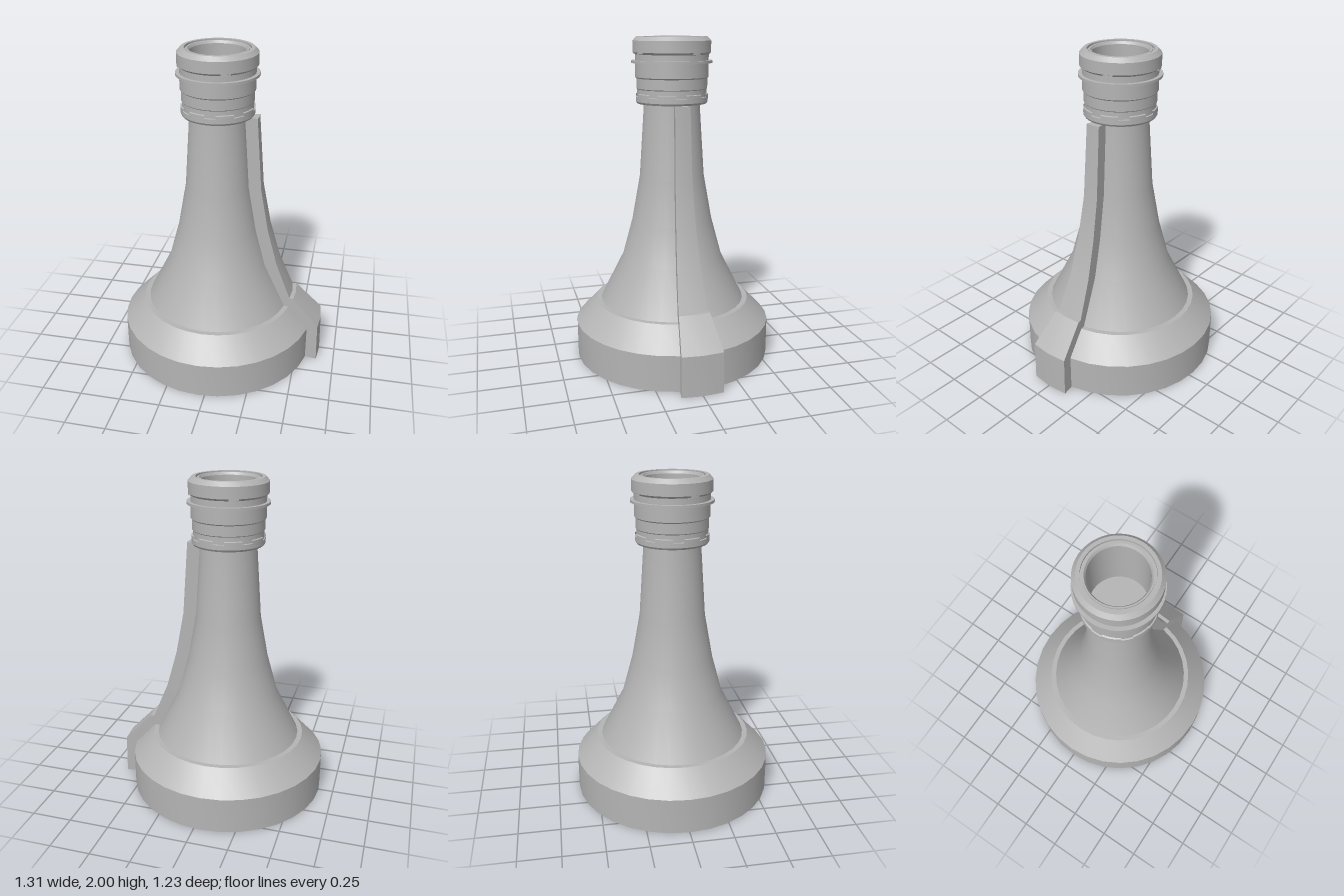
import * as THREE from 'three';
import { toCreasedNormals } from 'three/addons/utils/BufferGeometryUtils.js';

const AXIS_X = -0.04;

export function createModel() {
  const model = new THREE.Group();
  model.name = 'flaredBottle';
  const grey = new THREE.MeshStandardMaterial({ color: 0xb4b4b4, side: THREE.DoubleSide });
  grey.name = 'plainGrey';

  const vec = (points) => points.map(([r, y]) => new THREE.Vector2(r, y));
  const add = (name, geometry, parent = model) => {
    const mesh = new THREE.Mesh(geometry, grey);
    mesh.name = name;
    parent.add(mesh);
    return mesh;
  };
  const turned = (points, sides, start = 0, sweep = Math.PI * 2) =>
    toCreasedNormals(new THREE.LatheGeometry(vec(points), sides, start, sweep), 0.45);

  // Wide chamfered foot with a narrow ledge around the body
  add('base', turned([
    [0, 0], [0.617, 0], [0.617, 0.225], [0.486, 0.362], [0.44, 0.362],
  ], 32));

  // Flared body
  add('body', turned([
    [0.455, 0.362], [0.315, 0.64], [0.25, 0.88], [0.2, 1.157], [0.17, 1.61],
  ], 32));

  // Neck with collar, ridges, lip and an open bore
  add('neck', turned([
    [0.16, 1.605], [0.211, 1.605], [0.219, 1.617], [0.219, 1.645], [0.211, 1.647],
    [0.211, 1.69], [0.215, 1.695], [0.215, 1.755], [0.222, 1.762], [0.222, 1.845],
    [0.245, 1.845], [0.245, 1.86], [0.222, 1.86], [0.222, 1.895], [0.236, 1.907],
    [0.236, 1.975], [0.213, 2], [0.192, 2], [0.192, 1.985], [0.181, 1.985],
    [0.181, 1.995], [0.172, 1.995], [0.163, 1.98], [0.163, 1.625], [0, 1.625],
  ], 48));

  // Shallow interlocking tabs on the collar and under the lip
  const tabs = new THREE.Group();
  tabs.name = 'neckTabs';
  model.add(tabs);
  for (let i = 0; i < 8; i++) {
    const angle = (i + 0.5) * Math.PI / 4;
    add('collarTab', turned([
      [0.209, 1.642], [0.219, 1.642], [0.219, 1.662], [0.209, 1.666],
    ], 6, angle - 0.24, 0.48), tabs);
    if (i % 2 === 0) {
      add('lipTab', turned([
        [0.22, 1.894], [0.235, 1.897], [0.235, 1.912], [0.22, 1.912],
      ], 6, angle - 0.12, 0.24), tabs);
    }
  }

  // Wedge-shaped spine running down one side
  const spine = new THREE.Group();
  spine.name = 'spine';
  model.add(spine);
  const half = 0.186;
  const spineProfile = [
    [0.6, 0], [0.69, 0], [0.685, 0.25], [0.515, 0.427], [0.49, 0.427],
    [0.394, 0.66], [0.33, 0.89], [0.28, 1.157], [0.248, 1.605], [0.12, 1.605],
  ];
  add('spineFace', turned(spineProfile, 2, Math.PI / 2 - half, half * 2), spine);
  const sideShape = new THREE.Shape(vec([...spineProfile, [0.12, 1.2], [0.3, 0.5], [0.6, 0.1]]));
  for (const side of [1, -1]) {
    const flank = new THREE.ShapeGeometry(sideShape);
    if (side < 0) {
      // Reverse the corners so that this flank faces outwards
      flank.index.array.reverse();
      flank.computeVertexNormals();
    }
    flank.rotateY(-side * half);
    add('spineFlank', flank, spine);
  }

  for (const part of model.children) part.position.x = AXIS_X;
  return model;
}
